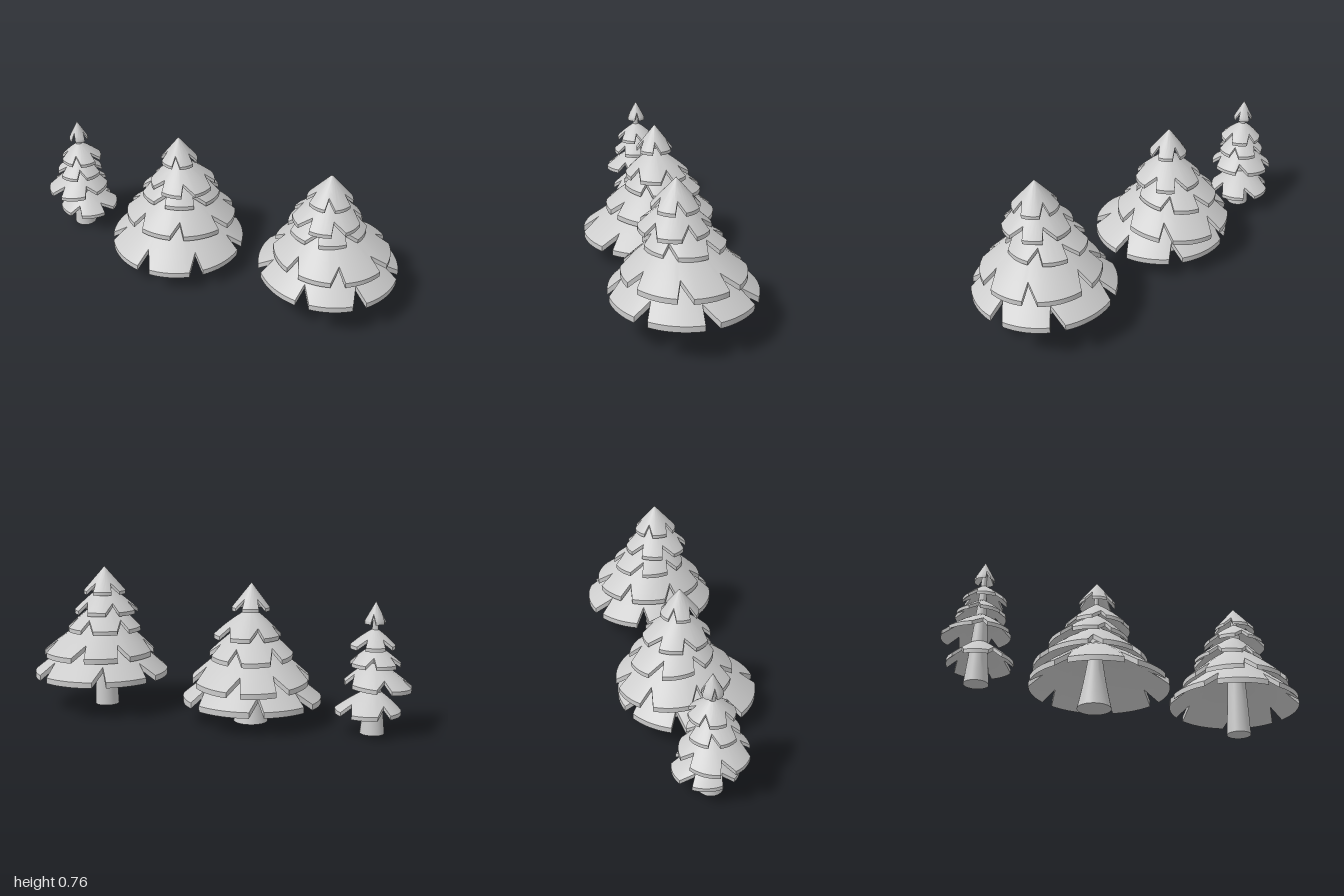
import * as THREE from 'three';
import { toCreasedNormals } from 'three/addons/utils/BufferGeometryUtils.js';

const { lerp, clamp, degToRad } = THREE.MathUtils;
const grey = new THREE.MeshStandardMaterial({ color: 0xcccccc });

// Tiers run from the ground up: rim centre, rim height and rim radius
const trees = [
  {
    name: 'rightTree', x: 0.627, z: 0.128, height: 0.76, trunkRadius: 0.065, flare: 0.6, turn: 3,
    tiers: [
      { x: 0.642, z: 0.09, y: 0.175, radius: 0.357 },
      { x: 0.655, z: 0.095, y: 0.285, radius: 0.295 },
      { x: 0.62, z: 0.08, y: 0.42, radius: 0.195 },
      { x: 0.62, z: 0.13, y: 0.507, radius: 0.17 },
      { x: 0.628, z: 0.13, y: 0.612, radius: 0.113 },
    ],
  },
  {
    name: 'middleTree', x: -0.198, z: -0.116, height: 0.717, trunkRadius: 0.088, flare: 2, turn: 6,
    tiers: [
      { x: -0.2, z: -0.078, y: 0.097, radius: 0.356 },
      { x: -0.2, z: -0.15, y: 0.217, radius: 0.296, tiltZ: 0.08 },
      { x: -0.203, z: -0.165, y: 0.348, radius: 0.21, tiltZ: 0.08 },
      { x: -0.18, z: -0.125, y: 0.437, radius: 0.17 },
      { x: -0.195, z: -0.115, y: 0.575, radius: 0.096 },
    ],
  },
  {
    name: 'leftTree', x: -0.812, z: -0.254, height: 0.655, trunkRadius: 0.06, flare: 1.2, turn: 24,
    tiers: [
      { x: -0.788, z: -0.27, y: 0.105, radius: 0.16 },
      { x: -0.835, z: -0.25, y: 0.231, radius: 0.165, tiltX: 0.08 },
      { x: -0.818, z: -0.25, y: 0.337, radius: 0.122 },
      { x: -0.802, z: -0.25, y: 0.424, radius: 0.108 },
      { x: -0.81, z: -0.254, y: 0.545, radius: 0.05 },
    ],
  },
];

// Outline of a tier as [angle, radius fraction], with V notches cut in the rim
function notchedRim(radius, turn) {
  const rim = [];
  const count = Math.round(clamp(4 + radius * 9, 4, 7));
  const half = clamp(0.036 / radius, 0.1, 0.22);
  const depth = clamp(0.15 + 0.022 / radius, 0.21, 0.37);
  const steps = 10;
  const notchAngle = (i) =>
    degToRad(turn) + (i * Math.PI * 2) / count + 0.05 * Math.sin((i % count) * 2.3);
  for (let i = 0; i < count; i++) {
    const skew = (i % 2 ? -0.5 : 0.5) * half;
    rim.push([notchAngle(i) + skew, 1 - depth]);
    for (let s = 0; s <= steps; s++) {
      rim.push([lerp(notchAngle(i) + half, notchAngle(i + 1) - half, s / steps), 1]);
    }
  }
  return rim;
}

// Hollow skewed cone of branches, slightly domed: outer skin, rim wall, inner skin
function branchTier(tree, index) {
  const { x, z, y, radius, tiltX = 0, tiltZ = 0 } = tree.tiers[index];
  const rim = notchedRim(radius, tree.turn + index * 20);
  const thick = 0.012 + radius * 0.05;
  const isTip = index === tree.tiers.length - 1;
  const rise = isTip ? tree.height - y - thick : radius * (0.87 + 0.04 * index);
  const sag = isTip ? 0 : 0.2;
  const point = ([angle, fraction], ring, drop) => {
    const f = fraction * ring;
    const dx = Math.cos(angle) * radius * f;
    const dz = Math.sin(angle) * radius * f;
    return [
      lerp(tree.x, x, f) + dx,
      y + thick + rise * (1 - f) * (1 - sag * (1 - f)) + dx * tiltX + dz * tiltZ - drop,
      lerp(tree.z, z, f) + dz,
    ];
  };
  const verts = [];
  const quad = (a, b, c, d) => [a, b, c, a, c, d].forEach((corner) => verts.push(...corner));
  const rings = 5;
  rim.forEach((p, i) => {
    const q = rim[(i + 1) % rim.length];
    for (let k = 0; k < rings; k++) {
      const [inner, outer] = [k / rings, (k + 1) / rings];
      quad(point(q, outer, 0), point(p, outer, 0), point(p, inner, 0), point(q, inner, 0));
      quad(point(p, outer, thick), point(q, outer, thick),
        point(q, inner, thick), point(p, inner, thick));
    }
    quad(point(p, 1, 0), point(q, 1, 0), point(q, 1, thick), point(p, 1, thick));
  });
  const geometry = new THREE.BufferGeometry();
  geometry.setAttribute('position', new THREE.Float32BufferAttribute(verts, 3));
  return toCreasedNormals(geometry, 0.5);
}

// Tapering trunk, closed at both ends; flare sets how fast the foot narrows
function trunkGeometry({ height, trunkRadius, flare }) {
  const tipRadius = 0.012;
  const length = height - 0.065;
  const steps = 10;
  const profile = [new THREE.Vector2(0, 0)];
  for (let i = 0; i <= steps; i++) {
    const t = i / steps;
    profile.push(new THREE.Vector2(lerp(tipRadius, trunkRadius, (1 - t) ** flare), t * length));
  }
  profile.push(new THREE.Vector2(0, length));
  return toCreasedNormals(new THREE.LatheGeometry(profile, 32), 0.6);
}

export function createModel() {
  const model = new THREE.Group();
  model.name = 'pineTrees';
  for (const tree of trees) {
    const group = new THREE.Group();
    group.name = tree.name;

    const trunk = new THREE.Mesh(trunkGeometry(tree), grey);
    trunk.name = 'trunk';
    trunk.position.set(tree.x, 0, tree.z);
    group.add(trunk);

    tree.tiers.forEach((_, i) => {
      const tier = new THREE.Mesh(branchTier(tree, i), grey);
      tier.name = `branchTier${i + 1}`;
      group.add(tier);
    });
    model.add(group);
  }
  return model;
}
